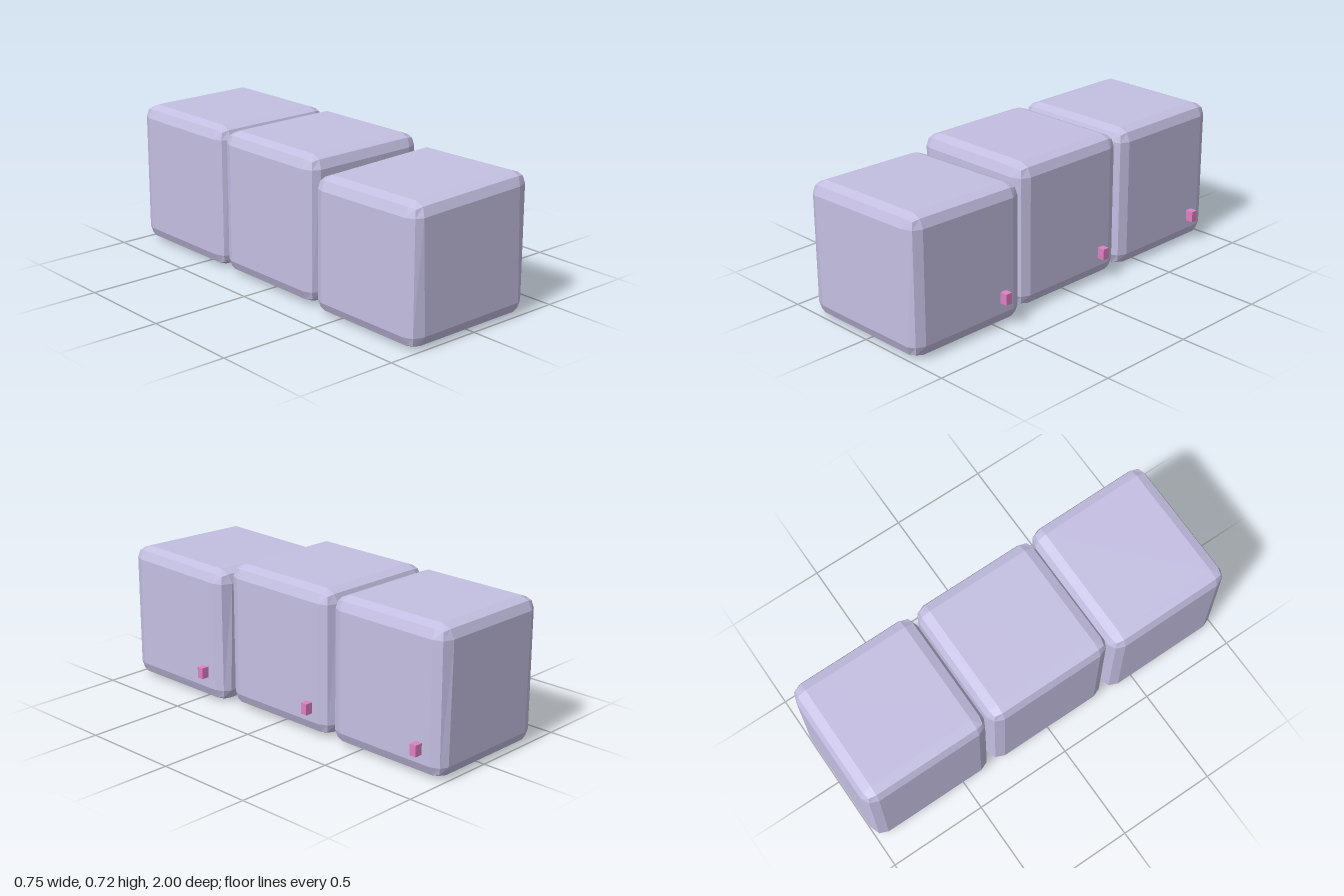
import * as THREE from 'three';
import { RoundedBoxGeometry } from 'three/addons/geometries/RoundedBoxGeometry.js';

const blockMat = new THREE.MeshStandardMaterial({ color: 0xc4bfe2, flatShading: true });
const tagMat = new THREE.MeshStandardMaterial({ color: 0xe080c4, flatShading: true });

// Bounds of each block, its slight skew, and the placement of its side tag
const cars = [
  { name: 'front', x: [-0.375, 0.335], y: [0, 0.665], z: [0.345, 1], skewX: 0.028, skewZ: 0.02, lean: 0.035, tag: [0.335, 0.145, 0.47] },
  { name: 'middle', x: [-0.365, 0.305], y: [0.008, 0.715], z: [-0.328, 0.328], skewX: 0.004, skewZ: 0.006, lean: 0.02, tag: [0.305, 0.14, -0.21] },
  { name: 'rear', x: [-0.36, 0.305], y: [0.003, 0.711], z: [-1, -0.34], skewX: 0.003, skewZ: 0.004, lean: 0.02, tag: [0.307, 0.137, -0.875] },
];

// Chamfered block, bent a little out of square
function blockGeometry({ x, y, z, skewX, skewZ, lean }) {
  const w = x[1] - x[0], h = y[1] - y[0], d = z[1] - z[0];
  const geo = new RoundedBoxGeometry(w, h, d, 1, 0.062);
  const p = geo.attributes.position;
  for (let i = 0; i < p.count; i++) {
    const px = p.getX(i), py = p.getY(i), pz = p.getZ(i);
    const up = py / h + 0.5;
    // the end faces lean sideways
    const onEnd = Math.abs(pz) > d / 2 - 0.001;
    p.setX(i, px - (onEnd ? lean * py : 0));
    // the upper part tilts, the underside stays level
    p.setY(i, py + Math.min(1, up * 3) * (skewX * px + skewZ * pz));
  }
  geo.translate((x[0] + x[1]) / 2, (y[0] + y[1]) / 2, (z[0] + z[1]) / 2);
  geo.computeVertexNormals();
  return geo;
}

export function createModel() {
  const model = new THREE.Group();
  model.name = 'blockRow';
  for (const car of cars) {
    const block = new THREE.Mesh(blockGeometry(car), blockMat);
    block.name = car.name + 'Block';
    // small tag poking out of the block's left side
    const tag = new THREE.Mesh(new THREE.BoxGeometry(0.076, 0.055, 0.035), tagMat);
    tag.name = car.name + 'Tag';
    tag.position.set(...car.tag);
    model.add(block, tag);
  }
  return model;
}
